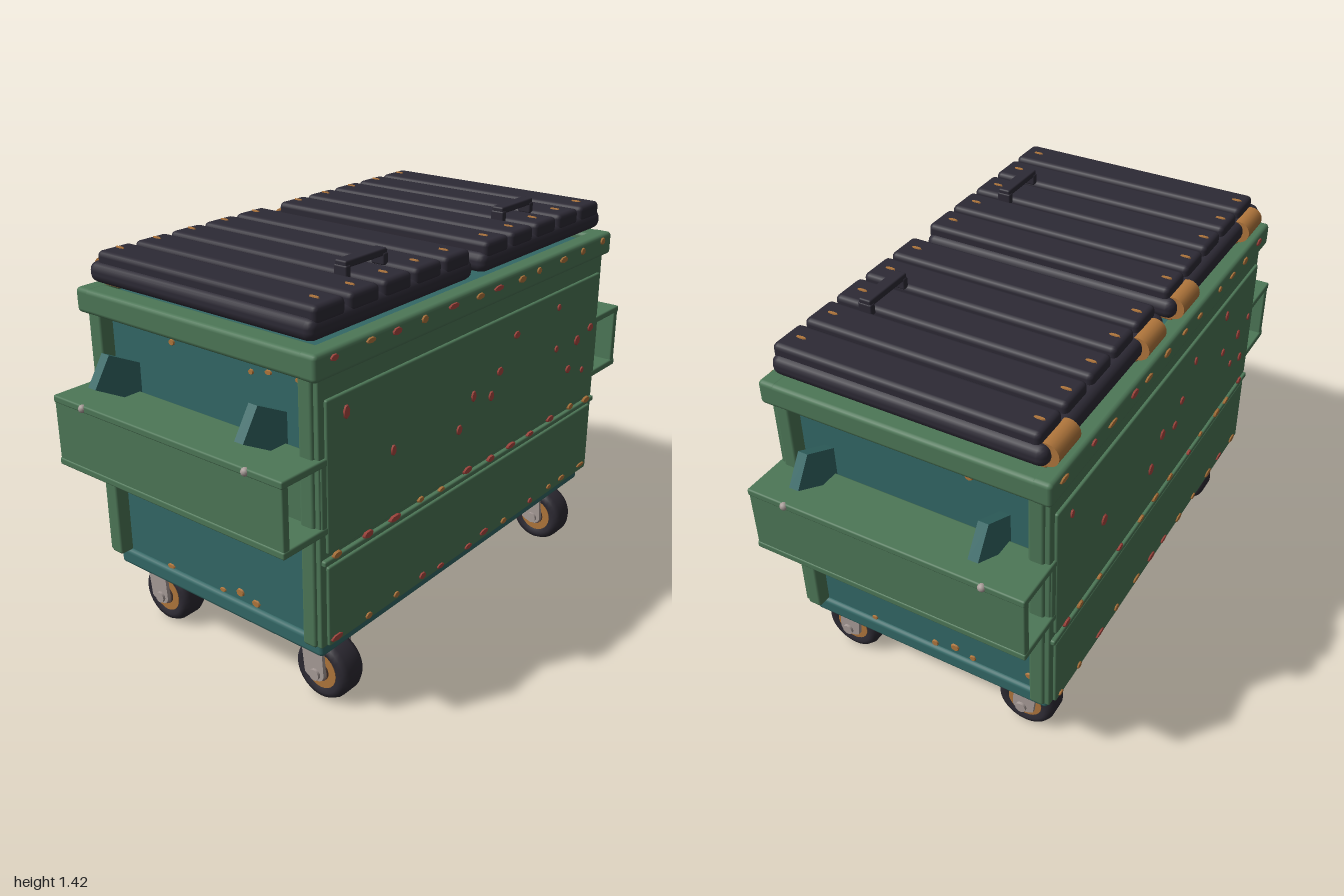
import * as THREE from 'three';
import { RoundedBoxGeometry } from 'three/addons/geometries/RoundedBoxGeometry.js';

const mat = (color) => new THREE.MeshStandardMaterial({ color });
const GREEN = mat(0x4d7757), TEAL = mat(0x336866), DARK = mat(0x2d2a35), TYRE = mat(0x2d2a33);
const ORANGE = mat(0xb0763c), RED = mat(0xa84840), STEEL = mat(0xa89c98), BROWN = mat(0x5a4640);

function add(parent, name, geometry, material, x = 0, y = 0, z = 0) {
  const mesh = new THREE.Mesh(geometry, material);
  mesh.name = name;
  mesh.position.set(x, y, z);
  parent.add(mesh);
  return mesh;
}

// Softly bevelled box given by its limits on each axis
function block(parent, name, material, [x0, x1], [y0, y1], [z0, z1], r = 0.006) {
  const g = new RoundedBoxGeometry(x1 - x0, y1 - y0, z1 - z0, 2, r);
  return add(parent, name, g, material, (x0 + x1) / 2, (y0 + y1) / 2, (z0 + z1) / 2);
}

// Seeded random numbers for the wear marks
function seeded(seed) {
  return () => (seed = (seed * 16807) % 2147483647) / 2147483647;
}

// Flat irregular chip of rust; its thin axis is turned to the wanted normal
function chip(parent, material, pos, normal, w, h) {
  const m = add(parent, 'rustChip', new THREE.CylinderGeometry(0.8, 1, 1, 7), material, ...pos);
  m.geometry.rotateX(Math.PI / 2);
  m.scale.set(w, h, 0.008);
  m.lookAt(pos[0] + normal[0], pos[1] + normal[1], pos[2] + normal[2]);
}

function createBody() {
  const body = new THREE.Group();
  body.name = 'body';
  block(body, 'hopper', TEAL, [-0.46, 0.46], [0.25, 1.235], [-0.785, 0.785]);
  block(body, 'baseSlab', TEAL, [-0.47, 0.47], [0.232, 0.295], [-0.8, 0.8], 0.015);
  // Top rim frame
  for (const s of [-1, 1]) {
    block(body, 'rimSide', GREEN, s < 0 ? [-0.51, -0.44] : [0.44, 0.51], [1.175, 1.26], [-0.855, 0.855], 0.015);
    block(body, 'rimEnd', GREEN, [-0.508, 0.508], [1.176, 1.259], s < 0 ? [-0.855, -0.77] : [0.77, 0.855], 0.015);
  }
  for (const s of [-1, 1]) {
    const span = (a, b) => (s > 0 ? [a, b] : [-b, -a]);
    // Side wall with two raised panels and a rib between them
    block(body, 'sideWall', GREEN, span(0.44, 0.492), [0.29, 1.19], [-0.825, 0.825]);
    block(body, 'upperPanel', GREEN, span(0.48, 0.503), [0.615, 1.11], [-0.8, 0.8]);
    block(body, 'lowerPanel', GREEN, span(0.48, 0.503), [0.292, 0.57], [-0.8, 0.8]);
    block(body, 'sideRib', GREEN, span(0.48, 0.507), [0.58, 0.6], [-0.82, 0.82]);
    for (const t of [-1, 1])
      block(body, 'cornerPost', GREEN, span(0.422, 0.475), [0.29, 1.19], t > 0 ? [0.74, 0.835] : [-0.835, -0.74], 0.01);
  }
  return body;
}

// Fork sleeve with its fins and bolts, built for the +z end
function createSleeve() {
  const g = new THREE.Group();
  g.name = 'forkSleeve';
  block(g, 'sleeveTop', GREEN, [-0.5, 0.5], [0.905, 0.93], [0.79, 0.99]);
  block(g, 'sleeveBottom', GREEN, [-0.5, 0.5], [0.682, 0.707], [0.79, 0.99]);
  block(g, 'sleeveFront', GREEN, [-0.498, 0.498], [0.69, 0.922], [0.96, 0.987]);
  block(g, 'sleeveBack', GREEN, [-0.498, 0.498], [0.69, 0.922], [0.79, 0.82]);
  const fin = new THREE.Shape([[-0.78, 1.025], [-0.906, 1.088], [-0.97, 0.99], [-0.84, 0.92], [-0.78, 0.92]]
    .map(([x, y]) => new THREE.Vector2(x, y)));
  for (const s of [-1, 1]) {
    const geo = new THREE.ExtrudeGeometry(fin, { depth: 0.035, bevelEnabled: false });
    geo.translate(0, 0, -0.0175).rotateY(Math.PI / 2);
    add(g, 'fin', geo, TEAL, s * 0.32);
    add(g, 'bolt', new THREE.SphereGeometry(0.014, 12, 8), STEEL, s * 0.357, 0.918, 0.986);
  }
  return g;
}

function createLid() {
  const lid = new THREE.Group();
  lid.name = 'lid';
  block(lid, 'lidBase', DARK, [-0.475, 0.475], [1.275, 1.345], [-0.4, 0.4], 0.03);
  for (let i = -2; i <= 2; i++) {
    const z = i * 0.156;
    block(lid, 'slat', DARK, [-0.447, 0.472], [1.32, 1.38], [z - 0.068, z + 0.068], 0.018);
    for (const s of [-1, 1]) chip(lid, ORANGE, [s * 0.41, 1.38, z], [0, 1, 0.001], 0.022, 0.006);
  }
  // Pull handle
  block(lid, 'handleBar', DARK, [0.305, 0.35], [1.4, 1.424], [-0.1, 0.1]);
  for (const s of [-1, 1])
    block(lid, 'handleFoot', DARK, [0.302, 0.353], [1.37, 1.41], [s * 0.09 - 0.012, s * 0.09 + 0.012]);
  // Hinge barrels
  for (const z of [-0.3, 0.285]) {
    const barrel = add(lid, 'hinge', new THREE.CylinderGeometry(0.04, 0.04, 0.13, 20), ORANGE, -0.46, 1.308, z);
    barrel.rotation.x = Math.PI / 2;
    block(lid, 'hingeLeaf', ORANGE, [-0.46, -0.38], [1.258, 1.278], [z - 0.065, z + 0.065]);
  }
  return lid;
}

function createCaster() {
  const g = new THREE.Group();
  g.name = 'caster';
  // Disc stack along z: tyre, hub faces, axle
  const profile = [[0.06, -0.045], [0.08, -0.055], [0.098, -0.048], [0.107, -0.03], [0.107, 0.03],
    [0.098, 0.048], [0.08, 0.055], [0.06, 0.045]].map(([r, y]) => new THREE.Vector2(r, y));
  const disc = (name, geo, m) => add(g, name, geo.rotateX(Math.PI / 2), m, 0, 0.108, 0);
  disc('tyre', new THREE.LatheGeometry(profile, 28), TYRE).material.side = THREE.DoubleSide;
  disc('hub', new THREE.CylinderGeometry(0.064, 0.064, 0.098, 24), ORANGE);
  disc('hubCentre', new THREE.CylinderGeometry(0.035, 0.035, 0.112, 20), BROWN);
  disc('axle', new THREE.CylinderGeometry(0.02, 0.02, 0.165, 16), STEEL);
  // Tapered fork cheeks leaning back to the swivel
  const cheek = new THREE.Shape();
  cheek.moveTo(-0.06, 0.222);
  cheek.lineTo(-0.045, 0.1);
  cheek.quadraticCurveTo(-0.02, 0.08, 0.015, 0.085);
  cheek.quadraticCurveTo(0.035, 0.095, 0.034, 0.115);
  cheek.lineTo(0.026, 0.222);
  for (const z of [-0.073, 0.06])
    add(g, 'forkCheek', new THREE.ExtrudeGeometry(cheek, { depth: 0.013, bevelEnabled: false }), STEEL, 0, 0, z);
  block(g, 'forkCrown', STEEL, [-0.06, 0.026], [0.21, 0.224], [-0.073, 0.073], 0.004);
  block(g, 'mountPlate', BROWN, [-0.09, 0.05], [0.221, 0.238], [-0.075, 0.075], 0.004);
  return g;
}

function createRust() {
  const g = new THREE.Group();
  g.name = 'rust';
  const rand = seeded(41);
  const sideSpots = [[0.715, 1.05], [0.49, 0.845], [0.13, 0.785], [0.05, 0.88], [-0.06, 0.845], [-0.11, 0.92],
    [-0.21, 1.025], [-0.495, 1.05], [-0.495, 0.89], [-0.65, 0.88], [-0.75, 0.905], [-0.595, 0.78], [-0.705, 0.745]];
  const endSpots = [[-0.14, 1.135], [-0.095, 1.155], [0.2, 1.12], [0.27, 1.135], [0.39, 1.14],
    [0.11, 0.325], [0.03, 0.305], [0.18, 0.31], [0.4, 0.345], [-0.22, 0.3]];
  for (const s of [-1, 1]) {
    for (const [z, y] of sideSpots)
      chip(g, RED, [s * 0.504, y, s * z], [s, 0, 0], 0.012 + rand() * 0.01, 0.014 + rand() * 0.012);
    // Rows of chips along the rim, rib and bottom edge
    for (const [y, x] of [[1.232, 0.511], [0.608, 0.505], [0.312, 0.504]])
      for (let i = 0; i < 12; i++)
        chip(g, rand() < 0.4 ? RED : ORANGE, [s * x, y + (rand() - 0.5) * 0.016, -0.76 + i * 0.138 + (rand() - 0.5) * 0.05],
          [s, 0, 0], 0.015 + rand() * 0.018, 0.008 + rand() * 0.007);
    for (const [x, y] of endSpots)
      chip(g, ORANGE, [s * x, y, s * 0.787], [0, 0, s], 0.01 + rand() * 0.01, 0.008 + rand() * 0.008);
  }
  return g;
}

export function createModel() {
  const model = new THREE.Group();
  model.name = 'wasteContainer';
  model.add(createBody(), createRust());
  for (const s of [-1, 1]) {
    const sleeve = createSleeve();
    if (s < 0) sleeve.rotation.y = Math.PI;
    model.add(sleeve);
    const lid = createLid();
    lid.position.z = s * 0.427;
    model.add(lid);
    for (const x of [-0.34, 0.39]) {
      const caster = createCaster();
      caster.position.set(x, 0, s * 0.67);
      model.add(caster);
    }
  }
  return model;
}
